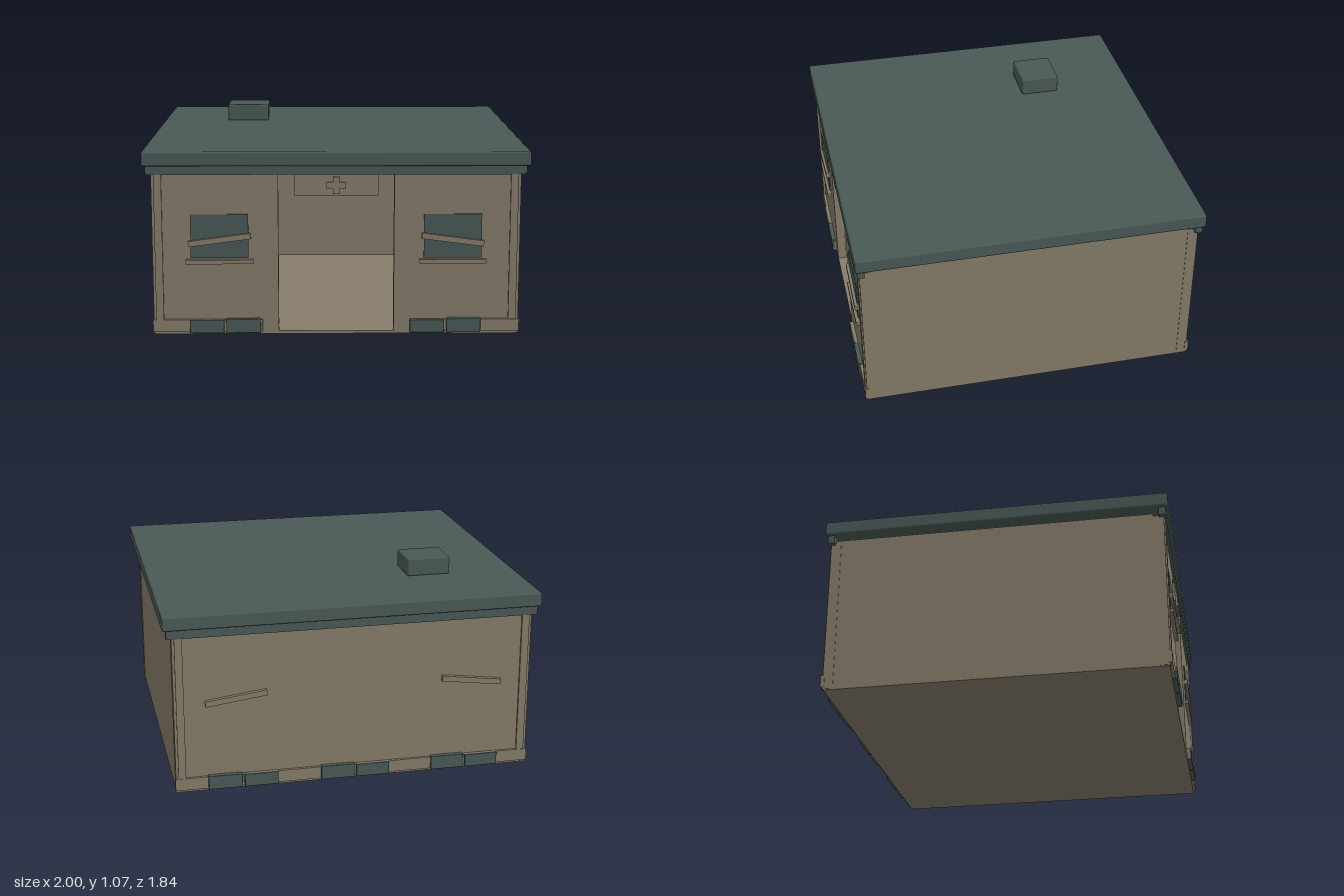
import * as THREE from 'three';
import { RoundedBoxGeometry } from 'three/addons/geometries/RoundedBoxGeometry.js';

export function createModel() {
  const building = new THREE.Group();
  building.name = 'guardHut';
  const tan = new THREE.MeshStandardMaterial({ name: 'sandTan', color: 0x877d6b });
  const teal = new THREE.MeshStandardMaterial({ name: 'darkTeal', color: 0x4a5a56 });

  function add(name, geometry, material, x, y, z) {
    const mesh = new THREE.Mesh(geometry, material);
    mesh.name = name;
    mesh.position.set(x, y, z);
    building.add(mesh);
    return mesh;
  }
  // Box given by its extents on each axis, with an optional rounded edge
  function box(name, material, [x0, x1], [y0, y1], [z0, z1], radius = 0) {
    const size = [x1 - x0, y1 - y0, z1 - z0];
    const geometry = radius
      ? new RoundedBoxGeometry(...size, 1, radius)
      : new THREE.BoxGeometry(...size);
    return add(name, geometry, material, (x0 + x1) / 2, (y0 + y1) / 2, (z0 + z1) / 2);
  }
  // Extents mirrored to the given side
  const flip = (side, a, b) => (side > 0 ? [a, b] : [-b, -a]);

  // Floor and walls
  box('floor', tan, [-0.95, 0.95], [0, 0.015], [-0.89, 0.89]);
  box('backWall', tan, [-0.92, 0.92], [0.015, 0.875], [-0.89, -0.85]);
  for (const s of [-1, 1]) {
    box('sideWall', tan, flip(s, 0.91, 0.95), [0.015, 0.875], [-0.87, 0.84]);
    box('frontWall', tan, flip(s, 0.3, 0.925), [0.015, 0.875], [0.84, 0.89]);
  }

  // Roof slab, vent and the trim boards under the front and back eaves
  box('roof', teal, [-1, 1], [0.895, 0.97], [-0.92, 0.92], 0.01);
  box('roofVent', teal, [-0.625, -0.385], [0.968, 1.065], [-0.48, -0.265], 0.01);
  for (const f of [-1, 1]) box('eaveTrim', teal, [-0.98, 0.98], [0.85, 0.9], flip(f, 0.87, 0.908));

  // Corner posts and skirting, on all four corners
  for (const f of [-1, 1]) for (const s of [-1, 1]) {
    box('cornerPost', tan, flip(s, 0.9, 0.94), [0.015, 0.86], flip(f, 0.84, 0.902));
    box('cornerStrip', tan, flip(s, 0.925, 0.953), [0.005, 0.86], flip(f, 0.84, 0.895));
    box('skirting', tan, flip(s, 0.385, 0.957), [0.015, 0.08], flip(f, 0.885, 0.905));
  }
  box('backSkirting', tan, [-0.385, 0.385], [0.015, 0.08], [-0.905, -0.885]);

  // Pairs of sandbags along the foot of the walls
  function bagPair(x, f) {
    box('sandbag', teal, [x - 0.185, x - 0.005], [0.01, 0.08], flip(f, 0.875, 0.915), 0.004);
    box('sandbag', teal, [x + 0.005, x + 0.185], [0.01, 0.086], flip(f, 0.875, 0.915), 0.004);
  }
  for (const x of [-0.58, 0.57]) bagPair(x, 1);
  for (const x of [-0.6, 0, 0.6]) bagPair(x, -1);

  // Front windows with sills, and slanted boards on both faces
  for (const s of [-1, 1]) {
    box('window', teal, flip(s, 0.455, 0.755), [0.41, 0.64], [0.889, 0.897]);
    box('windowSill', tan, flip(s, 0.43, 0.78), [0.38, 0.402], [0.885, 0.912]);
    for (const f of [-1, 1]) {
      const board = add('slantedBoard', new THREE.BoxGeometry(0.325, 0.03, 0.024), tan,
        s * (f > 0 ? 0.605 : 0.63), 0.507, f * 0.9);
      board.rotation.z = -s * 0.13;
    }
  }

  // Sign with a raised cross above the doorway
  box('doorSign', tan, [-0.218, 0.218], [0.738, 0.86], [0.875, 0.897]);
  const a = 0.05, b = 0.016;
  const cross = new THREE.Shape([
    [-b, -a + 0.005], [b, -a + 0.005], [b, -b], [a, -b], [a, b], [b, b],
    [b, a - 0.005], [-b, a - 0.005], [-b, b], [-a, b], [-a, -b], [-b, -b],
  ].map(([x, y]) => new THREE.Vector2(x, y)));
  add('signCross', new THREE.ExtrudeGeometry(cross, { depth: 0.008, bevelEnabled: false }),
    tan, 0, 0.793, 0.896);

  return building;
}
